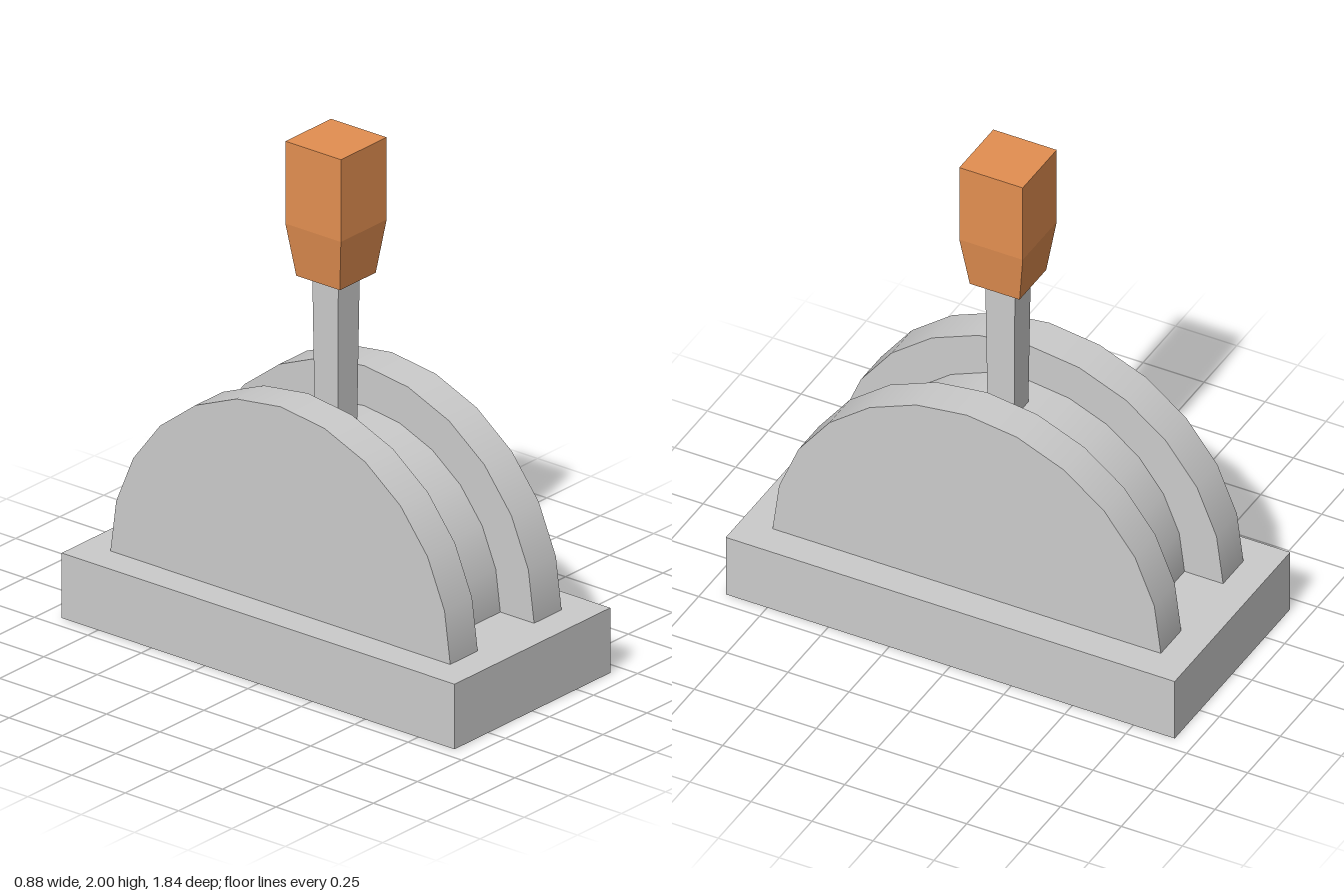
import * as THREE from 'three';

const BASE_TOP = 0.257;

export function createModel() {
  const group = new THREE.Group();
  const grey = new THREE.MeshStandardMaterial({ color: 0xcccccc });
  const greyFlat = new THREE.MeshStandardMaterial({ color: 0xcccccc, flatShading: true });
  const orange = new THREE.MeshStandardMaterial({ color: 0xe38f51, flatShading: true });

  const add = (name, geometry, material) => {
    const mesh = new THREE.Mesh(geometry, material);
    mesh.name = name;
    group.add(mesh);
    return mesh;
  };

  // Half cylinder lying along x, flat side resting on the base
  const halfDisc = (name, radius, width, x) => {
    const geometry = new THREE.CylinderGeometry(radius, radius, width, 12, 1, false, 0, Math.PI);
    geometry.rotateZ(Math.PI / 2);
    add(name, geometry, grey).position.set(x, BASE_TOP - 0.002, 0);
  };

  // Square column through [halfWidth, y] rings, closed at both ends
  const squareColumn = (name, rings, material) => {
    const points = [[0, rings[0][1]], ...rings, [0, rings[rings.length - 1][1]]]
      .map(([half, y]) => new THREE.Vector2(half * Math.SQRT2, y));
    add(name, new THREE.LatheGeometry(points, 4, Math.PI / 4), material);
  };

  // Base plate
  add('base', new THREE.BoxGeometry(0.884, BASE_TOP, 1.84), grey).position.y = BASE_TOP / 2;

  // Two side discs with a smaller drum between them
  for (const [side, name] of [[1, 'leftDisc'], [-1, 'rightDisc']]) {
    halfDisc(name, 0.796, 0.156, side * 0.238);
  }
  halfDisc('drum', 0.638, 0.322, 0);

  // Lever shaft and its grip
  squareColumn('leverShaft', [[0.054, 0.85], [0.061, 1.48]], greyFlat);
  squareColumn('grip', [[0.102, 1.467], [0.13, 1.675], [0.13, 2]], orange);

  return group;
}
